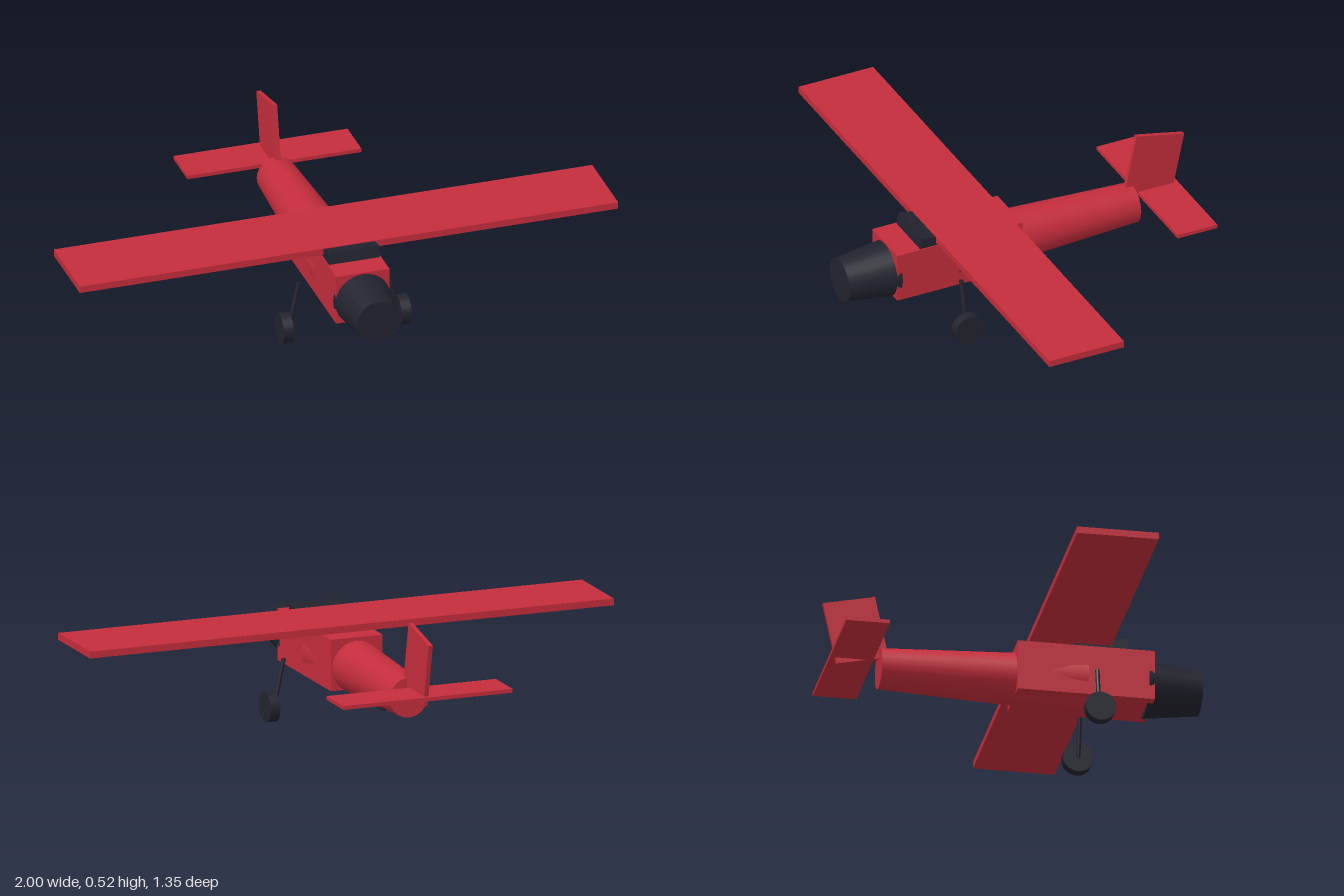
import * as THREE from 'three';

export function createModel() {
  const model = new THREE.Group();
  model.name = 'airplane';

  const red = new THREE.MeshStandardMaterial({ color: 0xc42d3c });
  red.name = 'red paint';
  const dark = new THREE.MeshStandardMaterial({ color: 0x22232e });
  dark.name = 'dark charcoal';

  const add = (name, geometry, material, x, y, z) => {
    const mesh = new THREE.Mesh(geometry, material);
    mesh.name = name;
    mesh.position.set(x, y, z);
    model.add(mesh);
    return mesh;
  };
  const box = (name, size, pos, material) =>
    add(name, new THREE.BoxGeometry(...size), material, ...pos);
  // Tapered body along z, from its front radius to its rear radius
  const cone = (name, rFront, rRear, zFront, zRear, material) => {
    const g = new THREE.CylinderGeometry(rFront, rRear, zFront - zRear, 24);
    g.rotateX(Math.PI / 2);
    return add(name, g, material, 0, 0.243, (zFront + zRear) / 2);
  };

  // Fuselage
  box('cabin', [0.198, 0.187, 0.492], [0, 0.256, 0.252], red);
  cone('engineCowl', 0.08, 0.104, 0.675, 0.478, dark);
  cone('tailBoom', 0.105, 0.073, 0.26, -0.475, red);

  // Windshield block, leaning back under the wing
  const windshield = box('windshield', [0.19, 0.1, 0.23], [0, 0.321, 0.294], dark);
  windshield.rotation.x = -0.19;

  // Flying surfaces
  box('wing', [2, 0.025, 0.293], [0, 0.371, 0.197], red);
  box('tailplane', [0.646, 0.014, 0.156], [0, 0.277, -0.573], red);
  const fin = box('tailFin', [0.016, 0.236, 0.191], [0, 0.382, -0.558], red);
  fin.rotation.x = -0.21;

  // Landing gear, mirrored
  for (const side of [1, -1]) {
    const label = side > 0 ? 'left' : 'right';
    const strut = add(label + 'Strut', new THREE.CylinderGeometry(0.008, 0.008, 0.174, 10),
      dark, side * 0.184, 0.14, 0.279);
    strut.rotation.z = side * 0.21;
    const tyre = new THREE.CylinderGeometry(0.055, 0.055, 0.037, 20);
    tyre.rotateZ(Math.PI / 2);
    add(label + 'Wheel', tyre, dark, side * 0.219, 0.055, 0.279);
  }

  return model;
}
